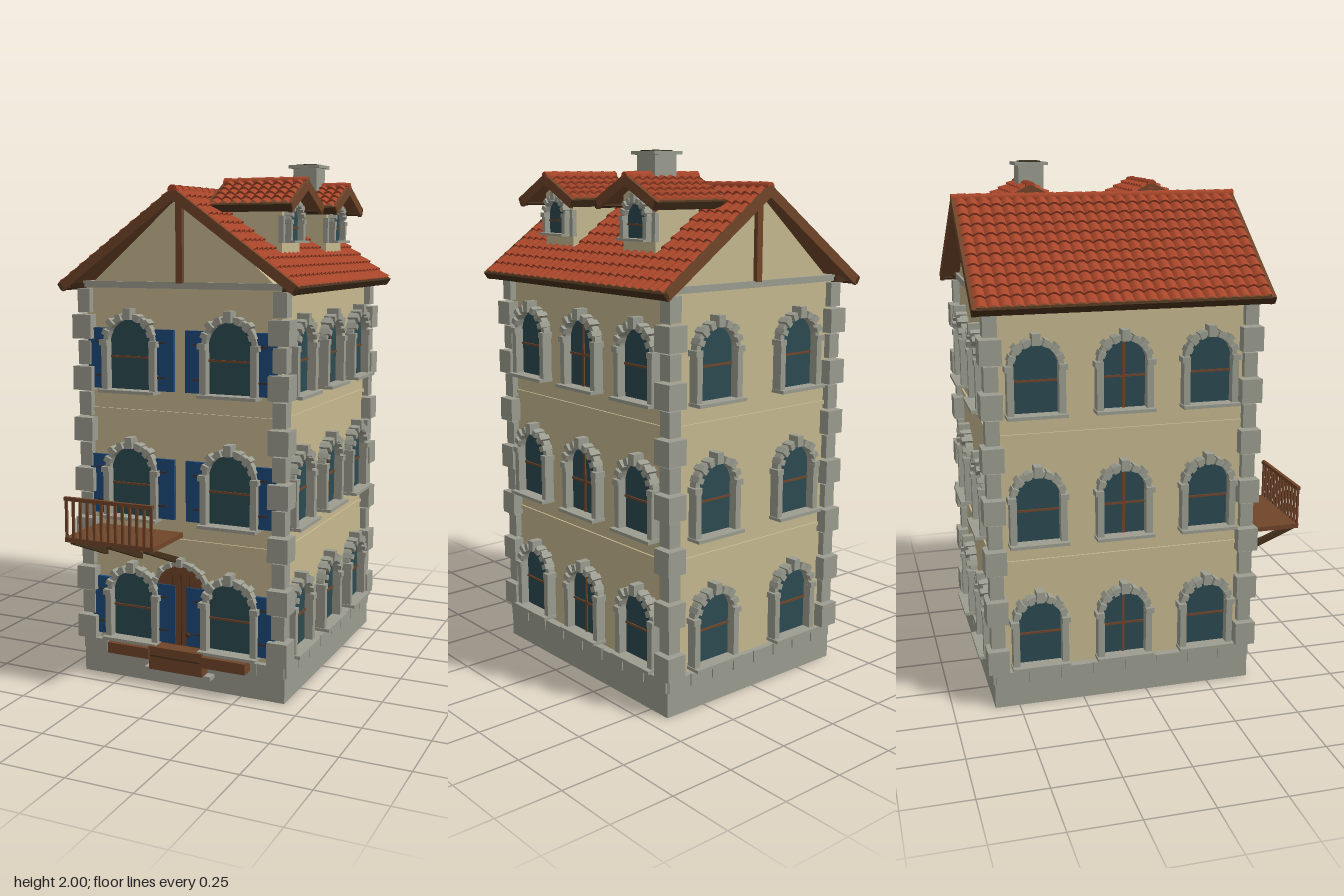
import * as THREE from 'three';
import { toCreasedNormals } from 'three/addons/utils/BufferGeometryUtils.js';

const mat = (name, color) => {
  const m = new THREE.MeshStandardMaterial({ color });
  m.name = name;
  return m;
};
const M = {
  wall: mat('plaster', 0xc6b88f),
  stone: mat('stone', 0x9c9d90),
  tile: mat('terracotta', 0xa9462a),
  wood: mat('wood', 0x70452a),
  dark: mat('dark wood', 0x46301c),
  blue: mat('blue paint', 0x1d4a7c),
  glass: mat('glass', 0x2b4a50),
  soot: mat('soot', 0x3b3422),
};

function add(parent, name, geo, material, x = 0, y = 0, z = 0) {
  const m = new THREE.Mesh(geo, material);
  m.name = name;
  m.position.set(x, y, z);
  parent.add(m);
  return m;
}
const box = (parent, name, material, w, h, d, x, y, z) =>
  add(parent, name, new THREE.BoxGeometry(w, h, d), material, x, y, z);
const group = (parent, name) => {
  const g = new THREE.Group();
  g.name = name;
  parent.add(g);
  return g;
};
const extrude = (shape, depth) =>
  new THREE.ExtrudeGeometry(shape, { depth, bevelEnabled: false, curveSegments: 16 });
const polygon = pts => new THREE.Shape(pts.map(p => new THREE.Vector2(...p)));

// Round-headed panel: half width r, straight height h
function archPanel(r, h, depth) {
  const s = new THREE.Shape();
  s.moveTo(-r, 0);
  s.lineTo(r, 0);
  s.lineTo(r, h);
  s.absarc(0, h, r, 0, Math.PI, false);
  s.lineTo(-r, 0);
  return extrude(s, depth);
}

// Half ring with radiating stones and a keystone
function stoneArch(parent, r, h, k = 1) {
  const s = new THREE.Shape();
  s.absarc(0, h, r + 0.02 * k, 0, Math.PI, false);
  s.absarc(0, h, r, Math.PI, 0, true);
  add(parent, 'archRing', extrude(s, 0.03 * k), M.stone);
  for (let i = 0; i <= 8; i++) {
    const a = Math.PI * i / 8, key = i === 4;
    const len = (key ? 0.042 : i % 2 ? 0.026 : 0.032) * k, c = r + len / 2 - 0.001;
    box(parent, key ? 'keystone' : 'archStone', M.stone, len, (key ? 0.03 : 0.021) * k,
      (key ? 0.05 : 0.044) * k, c * Math.cos(a), h + c * Math.sin(a), 0.022 * k).rotation.z = a;
  }
}

// Window faces local +z; its origin is the middle of the sill
function archWindow(parent, r, h, { k = 1, mullion = false, shutters = false } = {}) {
  const g = group(parent, 'window');
  add(g, 'glass', archPanel(r, h, 0.006), M.glass);
  box(g, 'crossbar', M.wood, 2 * r, 0.008 * k, 0.008, 0, h * 0.7, 0.007);
  if (mullion) box(g, 'mullion', M.wood, 0.01, h + r, 0.008, 0, (h + r) / 2, 0.007);
  stoneArch(g, r, h, k);
  box(g, 'sill', M.stone, 2 * r + 0.055 * k, 0.012 * k, 0.06 * k, 0, -0.006 * k, 0.03 * k);
  for (const s of [-1, 1]) {
    box(g, 'jamb', M.stone, 0.025 * k, h, 0.04 * k, s * (r + 0.011 * k), h / 2, 0.02 * k);
    if (!shutters) continue;
    box(g, 'shutter', M.blue, 0.078, 0.23, 0.014, s * 0.142, 0.115, 0.012);
    for (const y of [0.05, 0.18]) box(g, 'hinge', M.dark, 0.045, 0.006, 0.004, s * 0.127, y, 0.02);
  }
  return g;
}

// Tiled sheet: ridges run down local +z, steps lift at each tile end
function tileSheet(len, slope, cols, rows) {
  const nx = cols * 6, geo = new THREE.PlaneGeometry(1, 1, nx, rows * 2 - 1);
  const p = geo.attributes.position;
  for (let i = 0; i < p.count; i++) {
    const ix = i % (nx + 1), j = Math.floor(i / (nx + 1)), end = j % 2;
    const y = 0.013 * Math.abs(Math.sin(Math.PI * ix / 6)) + 0.009 * end;
    p.setXYZ(i, (ix / nx - 0.5) * len, y, (Math.floor(j / 2) + end) / rows * slope);
  }
  return toCreasedNormals(geo, 0.9);
}

// Gabled roof: ridge along local x, origin at the ridge
function gabledRoof(parent, name, len, half, rise, cols, rows) {
  const g = group(parent, name), S = Math.hypot(half, rise);
  for (const turn of [0, Math.PI]) {
    const side = group(g, 'roofSide');
    side.rotation.y = turn;
    const slope = group(side, 'slope');
    slope.rotation.x = Math.atan2(rise, half);
    add(slope, 'tiles', tileSheet(len - 0.02, S, cols, rows), M.tile);
    box(slope, 'boarding', M.wood, len - 0.02, 0.014, S, 0, -0.008, S / 2);
    box(slope, 'eavesBoard', M.dark, len, 0.028, 0.014, 0, -0.008, S);
    for (const s of [-1, 1])
      box(slope, 'bargeboard', M.wood, 0.016, 0.036, S + 0.007, s * (len / 2 - 0.008), -0.01, S / 2);
  }
  const n = Math.round(len / 0.055);
  for (let i = 0; i < n; i++) {
    const t = add(g, 'ridgeTile', new THREE.CylinderGeometry(0.019, 0.016, len / n, 10), M.tile,
      (i + 0.5 - n / 2) * len / n, 0.002, 0);
    t.rotation.z = Math.PI / 2;
  }
  return g;
}

export function createModel() {
  const house = new THREE.Group();
  house.name = 'townHouse';
  const zF = 0.4, zB = -0.575, zM = (zF + zB) / 2, depth = zF - zB;

  // Body, plinth and bands
  box(house, 'plinth', M.stone, 0.85, 0.14, 1.01, 0, 0.07, zM);
  box(house, 'walls', M.wall, 0.8, 1.4, depth, 0, 0.84, zM);
  add(house, 'gableWalls', extrude(polygon([[-0.37, 1.54], [0.37, 1.54], [0, 1.86]]), depth), M.wall, 0, 0, zB);
  box(house, 'cornice', M.stone, 0.82, 0.024, depth + 0.02, 0, 1.532, zM);
  for (const y of [0.57, 1.055]) box(house, 'floorBand', M.wall, 0.814, 0.014, depth + 0.014, 0, y, zM);
  for (const z of [zF + 0.008, zB - 0.008]) box(house, 'gablePost', M.wood, 0.026, 0.31, 0.02, 0, 1.695, z);

  // Plinth course
  for (let i = 0; i < 8; i++) for (const s of [-1, 1]) {
    const t = i - 3.5;
    box(house, 'plinthBlock', M.stone, 0.014, 0.046, 0.12, s * 0.424, 0.117, zM + t * 0.126);
    box(house, 'plinthBlock', M.stone, 0.1, 0.046, 0.014, t * 0.106, 0.117, zM + s * 0.504);
  }

  // Corner stones, long and short in turn
  for (let i = 0; i < 14; i++) for (const sx of [-1, 1]) for (const sz of [-1, 1]) {
    const out = i % 2 ? 0.026 : 0.042, size = i % 2 ? 0.052 : 0.08;
    box(house, 'cornerStone', M.stone, size, 0.091, size, sx * (0.4 + out - size / 2),
      0.19 + i * 0.0985, zM + sz * (depth / 2 + out - size / 2));
  }

  // Windows on all four sides
  for (let f = 0; f < 3; f++) {
    const y = 0.165 + f * 0.487;
    for (const s of [-1, 1]) {
      archWindow(house, 0.09, 0.175, { shutters: true }).position.set(s * 0.205, y, zF);
      const back = archWindow(house, 0.085, 0.175);
      back.position.set(s * 0.205, y, zB);
      back.rotation.y = Math.PI;
      [0.24, -0.088, -0.415].forEach((z, i) => {
        const w = archWindow(house, 0.083, 0.17, { mullion: i === 1 });
        w.position.set(s * 0.4, y, z);
        w.rotation.y = s * Math.PI / 2;
      });
    }
  }

  // Door, steps and planters
  const door = group(house, 'entrance');
  door.position.set(0, 0.08, zF);
  add(door, 'door', archPanel(0.105, 0.29, 0.012), M.wood);
  stoneArch(door, 0.105, 0.29, 0.75);
  for (const x of [-0.035, 0, 0.035]) box(door, 'doorGroove', M.dark, 0.003, 0.28, 0.004, x, 0.22, 0.012);
  add(door, 'doorKnob', new THREE.SphereGeometry(0.01, 10, 8), M.dark, 0.032, 0.13, 0.02);
  box(door, 'step', M.wood, 0.225, 0.09, 0.06, 0, 0.035, 0.04);
  box(door, 'stepEdge', M.dark, 0.21, 0.006, 0.004, 0, 0.045, 0.071);
  box(door, 'threshold', M.stone, 0.28, 0.016, 0.05, 0, -0.018, 0.03);
  for (const s of [-1, 1]) box(door, 'planter', M.wood, 0.18, 0.042, 0.06, s * 0.2, 0.05, 0.045);

  // Balcony
  const balcony = group(house, 'balcony');
  balcony.position.set(-0.182, 0.6, 0);
  box(balcony, 'balconyFloor', M.wood, 0.37, 0.018, 0.245, 0, -0.006, 0.522);
  box(balcony, 'handrail', M.wood, 0.37, 0.014, 0.014, 0, 0.15, 0.64);
  for (let i = 0; i < 13; i++)
    box(balcony, 'baluster', M.wood, 0.01, 0.15, 0.008, -0.178 + i * 0.02967, 0.075, 0.64);
  const strut = extrude(polygon([[0.4, -0.12], [0.4, -0.095], [0.61, -0.014], [0.64, -0.014], [0.64, -0.022]]), 0.022);
  for (const x of [-0.153, 0, 0.153])
    add(balcony, 'bracket', strut, M.dark, x + 0.011, 0, 0).rotation.y = -Math.PI / 2;

  // Main roof and rafter ends
  const roof = gabledRoof(house, 'mainRoof', 1.11, 0.48, 0.342, 25, 11);
  roof.position.set(0, 1.872, zM);
  roof.rotation.y = Math.PI / 2;
  for (let i = 0; i < 12; i++) for (const s of [-1, 1])
    box(house, 'rafterEnd', M.dark, 0.06, 0.02, 0.02, s * 0.435, 1.525, zM + (i - 5.5) * 0.09);

  // Dormers
  for (const z of [0.157, -0.328]) {
    const d = group(house, 'dormer');
    d.position.z = z;
    const face = polygon([[-0.09, 1.645], [0.09, 1.645], [0.09, 1.842], [0, 1.895], [-0.09, 1.842]]);
    const body = add(d, 'dormerBody', extrude(face, 0.24), M.wall, 0.095);
    body.rotation.y = Math.PI / 2;
    const w = archWindow(d, 0.056, 0.068, { k: 0.75 });
    w.position.set(0.335, 1.695, 0);
    w.rotation.y = Math.PI / 2;
    for (const s of [-1, 1]) box(d, 'dormerPost', M.stone, 0.02, 0.1, 0.018, 0.332, 1.735, s * 0.084);
    gabledRoof(d, 'dormerRoof', 0.335, 0.17, 0.088, 8, 5).position.set(0.235, 1.908, 0);
  }

  // Chimney
  const chimney = group(house, 'chimney');
  chimney.position.set(0.235, 0, -0.303);
  box(chimney, 'chimneyShaft', M.stone, 0.1, 0.3, 0.1, 0, 1.84, 0);
  box(chimney, 'chimneyCap', M.stone, 0.13, 0.012, 0.13, 0, 1.99, 0);
  box(chimney, 'flue', M.soot, 0.08, 0.004, 0.08, 0, 1.998, 0);
  return house;
}
